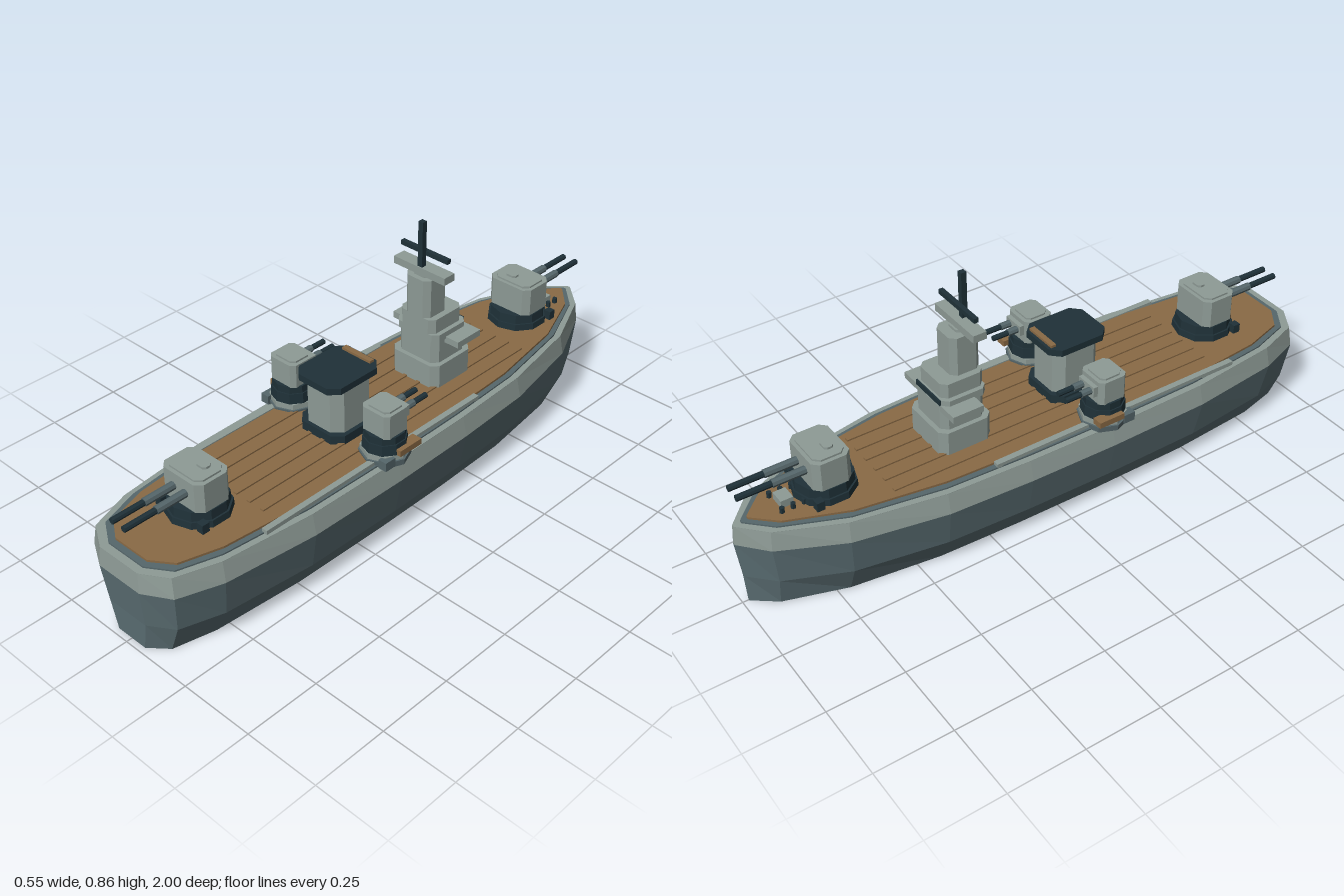
import * as THREE from 'three';

const mat = (name, color, side = THREE.FrontSide) => {
  const m = new THREE.MeshStandardMaterial({ color, flatShading: true, side });
  m.name = name;
  return m;
};

export function createModel() {
  const grey = mat('light grey', 0x8e9b96);
  const hullGrey = mat('hull blue grey', 0x5b6e73, THREE.DoubleSide);
  const bandGrey = mat('hull band grey', 0x8e9b96, THREE.DoubleSide);
  const dark = mat('dark navy', 0x1f3138);
  const slate = mat('slate', 0x56676b);
  const wood = mat('deck wood', 0x8a6a45);

  const ship = new THREE.Group();
  ship.name = 'warship';

  // Helpers
  const add = (parent, name, geo, material, x = 0, y = 0, z = 0) => {
    const mesh = new THREE.Mesh(geo, material);
    mesh.name = name;
    mesh.position.set(x, y, z);
    parent.add(mesh);
    return mesh;
  };
  const box = (parent, name, material, w, h, d, x, y, z) =>
    add(parent, name, new THREE.BoxGeometry(w, h, d), material, x, y + h / 2, z);
  // Upright prism from plan points given as [x, z]
  const prism = (pts, h) => new THREE.ExtrudeGeometry(
    new THREE.Shape(pts.map(([x, z]) => new THREE.Vector2(x, -z))),
    { depth: h, bevelEnabled: false }).rotateX(-Math.PI / 2);
  // Block with cut vertical corners, standing on y
  const block = (parent, name, material, w, h, d, cut, x, y, z) => {
    const a = w / 2, b = d / 2, c = cut;
    const pts = [[a, -b + c], [a, b - c], [a - c, b], [c - a, b], [-a, b - c], [-a, c - b], [c - a, -b], [a - c, -b]];
    return add(parent, name, prism(pts, h), material, x, y, z);
  };
  const drum = (parent, name, material, r0, r1, h, x, y, z, n = 10) =>
    add(parent, name, new THREE.CylinderGeometry(r1, r0, h, n), material, x, y + h / 2, z);

  // Hull plan, bow at -z
  const half = [[0.005, -1], [0.09, -0.925], [0.185, -0.725], [0.242, -0.43], [0.257, -0.15], [0.262, 0.15],
    [0.257, 0.5], [0.222, 0.81], [0.172, 0.95], [0.085, 1]];
  const plan = (sx, sz) => {
    const right = half.map(([x, z]) => [x * sx, z * sz]);
    return [...right, ...right.map(([x, z]) => [-x, z]).reverse()];
  };
  const loft = (levels) => {
    const pos = [], idx = [], n = half.length * 2;
    levels.forEach(([y, sx, sz]) => plan(sx, sz).forEach(([x, z]) => pos.push(x, y, z)));
    for (let l = 0; l < levels.length - 1; l++) for (let i = 0; i < n; i++) {
      const a = l * n + i, b = l * n + (i + 1) % n;
      idx.push(a, a + n, b + n, a, b + n, b);
    }
    const g = new THREE.BufferGeometry();
    g.setAttribute('position', new THREE.Float32BufferAttribute(pos, 3));
    g.setIndex(idx);
    const flat = g.toNonIndexed();
    flat.computeVertexNormals();
    return flat;
  };

  // Hull: open below, upper band, stepped decks
  add(ship, 'lowerHull', loft([[0, 0.67, 0.98], [0.1, 0.9, 0.985], [0.23, 1, 1]]), hullGrey);
  add(ship, 'upperHull', loft([[0.23, 1, 1], [0.295, 0.94, 0.995]]), bandGrey);
  add(ship, 'gunwale', prism(plan(0.94, 0.995), 0.006), grey, 0, 0.29, 0);
  add(ship, 'waterway', prism(plan(0.86, 0.97), 0.006), slate, 0, 0.295, 0);
  add(ship, 'woodDeck', prism(plan(0.79, 0.95), 0.009), wood, 0, 0.299, 0);
  for (let i = 0; i < 6; i++)
    box(ship, 'deckPlank', wood, 0.014, 0.005, 1.15, (i - 2.5) * 0.055, 0.308, 0.02);
  for (const s of [-1, 1])
    box(ship, 'deckCoaming', grey, 0.02, 0.014, 0.9, s * 0.207, 0.298, 0.2);

  // Twin guns pointing to +z
  const barrels = (g, gap, y, z0, z1, r) => {
    for (const s of [-1, 1]) {
      const len = z1 - z0;
      const tube = (name, m, rr, l, zc) =>
        add(g, name, new THREE.CylinderGeometry(rr, rr, l, 8).rotateX(Math.PI / 2), m, s * gap, y, zc);
      tube('gunBarrel', dark, r, len, z0 + len / 2);
      tube('barrelSleeve', slate, r * 1.3, len * 0.5, z0 + len * 0.25);
    }
  };
  const mainTurret = (name, z, turn) => {
    const g = new THREE.Group();
    g.name = name;
    drum(g, 'barbetteBase', dark, 0.1, 0.098, 0.025, 0, 0.305, 0);
    drum(g, 'barbette', dark, 0.092, 0.09, 0.03, 0, 0.33, 0);
    block(g, 'gunHouse', grey, 0.165, 0.095, 0.123, 0.02, 0, 0.36, 0.003);
    block(g, 'turretRoof', grey, 0.14, 0.006, 0.1, 0.018, 0, 0.455, 0.003);
    block(g, 'roofHatch', grey, 0.04, 0.008, 0.03, 0.008, 0.02, 0.46, -0.01);
    for (const s of [-1, 1]) box(g, 'baseLocker', dark, 0.025, 0.03, 0.025, s * 0.088, 0.31, 0.062);
    barrels(g, 0.025, 0.41, 0.06, 0.28, 0.01);
    g.position.z = z;
    g.rotation.y = turn;
    ship.add(g);
  };
  mainTurret('aftTurret', 0.705, 0);
  mainTurret('foreTurret', -0.705, Math.PI);

  // Foredeck winch and bollards
  box(ship, 'winch', grey, 0.05, 0.025, 0.04, 0, 0.308, -0.835);
  for (const s of [-1, 1]) for (const z of [-0.79, -0.825, -0.86])
    drum(ship, 'bollard', dark, 0.008, 0.008, 0.018, s * 0.04, 0.308, z, 6);

  // Side turrets on sponsons, pointing forward
  for (const s of [-1, 1]) {
    const g = new THREE.Group();
    g.name = s > 0 ? 'leftTurret' : 'rightTurret';
    drum(g, 'sponson', slate, 0.078, 0.08, 0.02, 0, 0.295, 0, 8);
    drum(g, 'sponsonDeck', grey, 0.074, 0.074, 0.018, 0, 0.315, 0, 8);
    drum(g, 'barbette', dark, 0.07, 0.068, 0.035, 0, 0.333, 0);
    drum(g, 'barbetteTop', dark, 0.064, 0.064, 0.025, 0, 0.367, 0);
    block(g, 'gunHouse', grey, 0.108, 0.08, 0.1, 0.014, 0, 0.39, 0);
    block(g, 'turretRoof', grey, 0.085, 0.007, 0.075, 0.012, 0, 0.469, 0);
    box(g, 'sideWalkway', wood, 0.035, 0.02, 0.09, s * 0.064, 0.333, -0.025);
    box(g, 'sideLocker', slate, 0.03, 0.03, 0.04, s * 0.055, 0.3, 0.05);
    const guns = new THREE.Group();
    guns.name = 'guns';
    guns.rotation.y = Math.PI;
    box(guns, 'mantlet', grey, 0.075, 0.035, 0.02, 0, 0.42, 0.055);
    barrels(guns, 0.02, 0.437, 0.045, 0.155, 0.009);
    g.add(guns);
    g.position.set(s * 0.193, 0, 0.15);
    ship.add(g);
  }

  // Funnel
  block(ship, 'funnelBase', dark, 0.18, 0.03, 0.19, 0.03, 0, 0.308, 0.147);
  block(ship, 'funnel', grey, 0.152, 0.155, 0.165, 0.03, 0, 0.335, 0.147);
  block(ship, 'funnelCap', dark, 0.175, 0.022, 0.21, 0.03, 0, 0.49, 0.148);
  box(ship, 'funnelTopStrip', wood, 0.115, 0.008, 0.018, 0, 0.512, 0.062);

  // Bridge tower
  block(ship, 'bridgeBase', grey, 0.19, 0.08, 0.18, 0.022, 0, 0.308, -0.272);
  block(ship, 'bridgeMiddle', grey, 0.16, 0.085, 0.15, 0.02, 0, 0.385, -0.272);
  box(ship, 'bridgeWing', grey, 0.27, 0.022, 0.105, 0, 0.453, -0.293);
  block(ship, 'bridgeHouse', grey, 0.17, 0.025, 0.15, 0.018, 0, 0.468, -0.268);
  box(ship, 'bridgeWindow', dark, 0.13, 0.018, 0.008, 0, 0.474, -0.344);
  block(ship, 'bridgeTop', grey, 0.14, 0.052, 0.145, 0.018, 0, 0.49, -0.265);
  block(ship, 'tower', grey, 0.098, 0.132, 0.1, 0.018, 0, 0.54, -0.24);
  block(ship, 'rangefinderBase', grey, 0.06, 0.01, 0.05, 0.012, 0, 0.67, -0.232);
  box(ship, 'rangefinder', grey, 0.205, 0.025, 0.045, 0, 0.678, -0.228);

  // Mast
  box(ship, 'mast', dark, 0.018, 0.185, 0.018, 0, 0.67, -0.218);
  box(ship, 'mastYard', dark, 0.188, 0.015, 0.015, 0, 0.738, -0.234);

  return ship;
}
